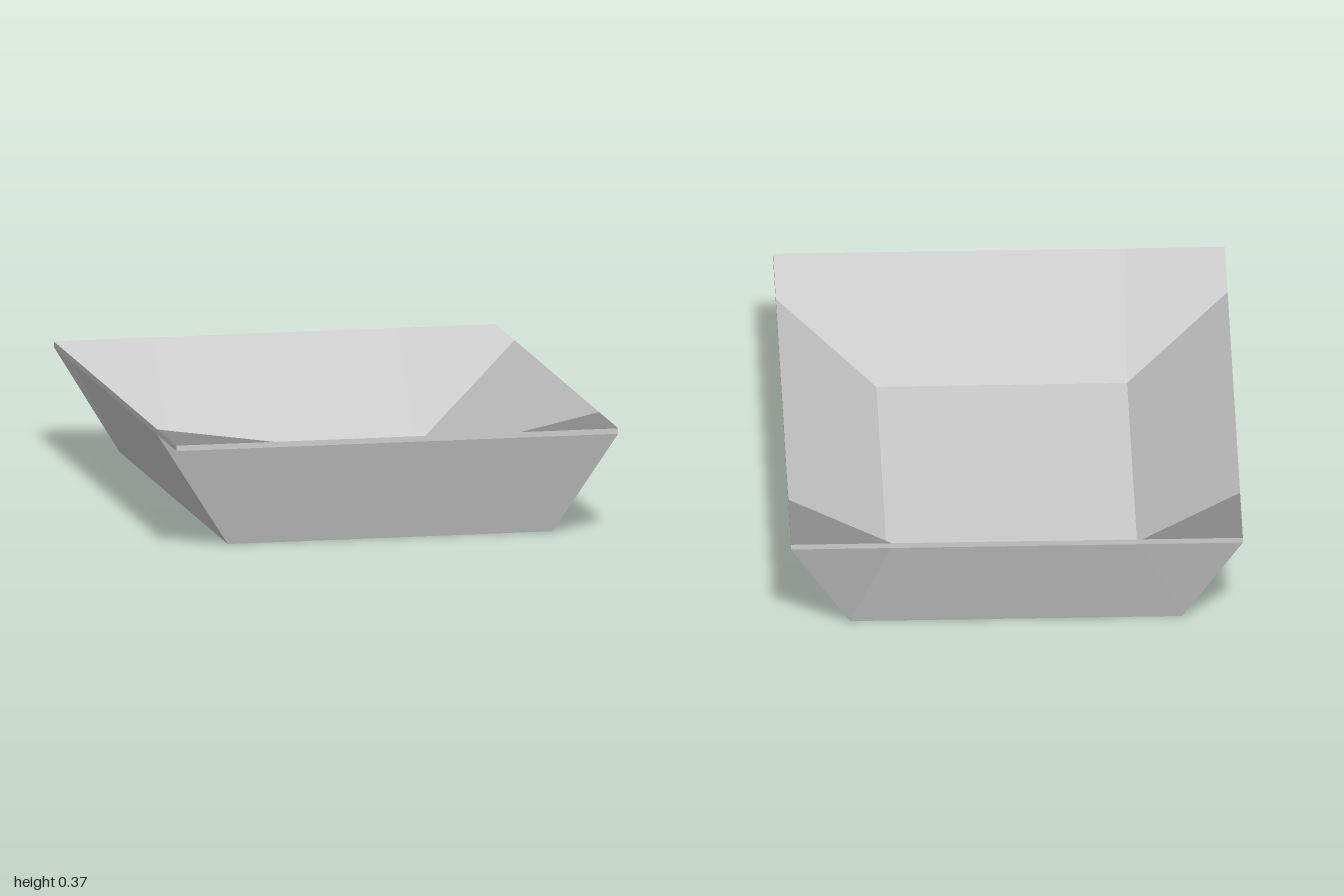
import * as THREE from 'three';

const material = new THREE.MeshStandardMaterial({ color: 0xcccccc });

// Half sizes: rim, underside, inner floor
const RIM = { x: 0.775, z: 1 }, BASE = { x: 0.57, z: 0.885 }, FLOOR = { x: 0.43, z: 0.69 };
const TOP = 0.372, LIP = 0.353, FLOOR_Y = 0.018;

// Mesh from convex faces [corners, outward direction, optional shared normal flag]
function faces(name, list) {
  const pos = [], nor = [];
  for (const [corners, outward, soft] of list) {
    const v = corners.map(c => new THREE.Vector3(...c));
    const out = new THREE.Vector3(...outward).normalize();
    for (let i = 1; i < v.length - 1; i++) {
      const tri = [v[0], v[i], v[i + 1]];
      const n = new THREE.Triangle(...tri).getNormal(new THREE.Vector3());
      if (n.dot(out) < 0) { tri.reverse(); n.negate(); }
      for (const p of tri) {
        pos.push(p.x, p.y, p.z);
        nor.push(...(soft ? out : n).toArray());
      }
    }
  }
  const g = new THREE.BufferGeometry();
  g.setAttribute('position', new THREE.Float32BufferAttribute(pos, 3));
  g.setAttribute('normal', new THREE.Float32BufferAttribute(nor, 3));
  const mesh = new THREE.Mesh(g, material);
  mesh.name = name;
  return mesh;
}

// Horizontal rectangle
const rect = (h, y) => [[-h.x, y, -h.z], [h.x, y, -h.z], [h.x, y, h.z], [-h.x, y, h.z]];

export function createModel() {
  const group = new THREE.Group();
  group.name = 'tray';

  // Inner floor and underside
  group.add(faces('innerFloor', [[rect(FLOOR, FLOOR_Y), [0, 1, 0]]]));
  group.add(faces('underside', [[rect(BASE, 0), [0, -1, 0]]]));

  for (const s of [1, -1]) {
    // Long side wall: inner slope, outer slope, thin lip
    const X = s * RIM.x, fz = FLOOR.z, bx = s * BASE.x, bz = BASE.z;
    group.add(faces(s > 0 ? 'leftWall' : 'rightWall', [
      [[[s * FLOOR.x, FLOOR_Y, -fz], [s * FLOOR.x, FLOOR_Y, fz], [X, TOP, fz], [X, TOP, -fz]], [-s, 1, 0]],
      [[[bx, 0, -bz], [bx, 0, bz], [X, LIP, fz], [X, LIP, -fz]], [s, -0.5, 0]],
      [[[X, LIP, -RIM.z], [X, LIP, RIM.z], [X, TOP, RIM.z], [X, TOP, -RIM.z]], [s, 0, 0]],
    ]));

    // Short end wall: same build
    const Z = s * RIM.z, fx = FLOOR.x, ez = s * BASE.z, ex = BASE.x;
    group.add(faces(s > 0 ? 'frontWall' : 'backWall', [
      [[[-fx, FLOOR_Y, s * FLOOR.z], [fx, FLOOR_Y, s * FLOOR.z], [fx, TOP, Z], [-fx, TOP, Z]], [0, 1, -s]],
      [[[-ex, 0, ez], [ex, 0, ez], [fx, LIP, Z], [-fx, LIP, Z]], [0, -0.3, s]],
      [[[-RIM.x, LIP, Z], [RIM.x, LIP, Z], [RIM.x, TOP, Z], [-RIM.x, TOP, Z]], [0, 0, s]],
    ]));
  }

  // Corners: folded inner gusset with a flat top, outer faces meeting at the corner ridge
  for (const sx of [1, -1]) for (const sz of [1, -1]) {
    const at = (x, y, z) => [sx * x, y, sz * z];
    const a = at(FLOOR.x, FLOOR_Y, FLOOR.z), p = at(BASE.x, 0, BASE.z);
    const [b, c, d] = [[FLOOR.x, RIM.z], [RIM.x, FLOOR.z], [RIM.x, RIM.z]]
      .map(([x, z]) => y => at(x, y, z));
    const inward = [-sx * 0.2, 0.65, -sz * 0.73], outward = [sx * 0.2, -0.3, sz * 0.93];
    group.add(faces((sz > 0 ? 'front' : 'back') + (sx > 0 ? 'Left' : 'Right') + 'Corner', [
      [[a, b(TOP), c(TOP)], inward, true],
      [[b(TOP), d(TOP), c(TOP)], inward, true],
      [[p, b(LIP), d(LIP)], outward, true],
      [[p, d(LIP), c(LIP)], outward, true],
    ]));
  }
  return group;
}
